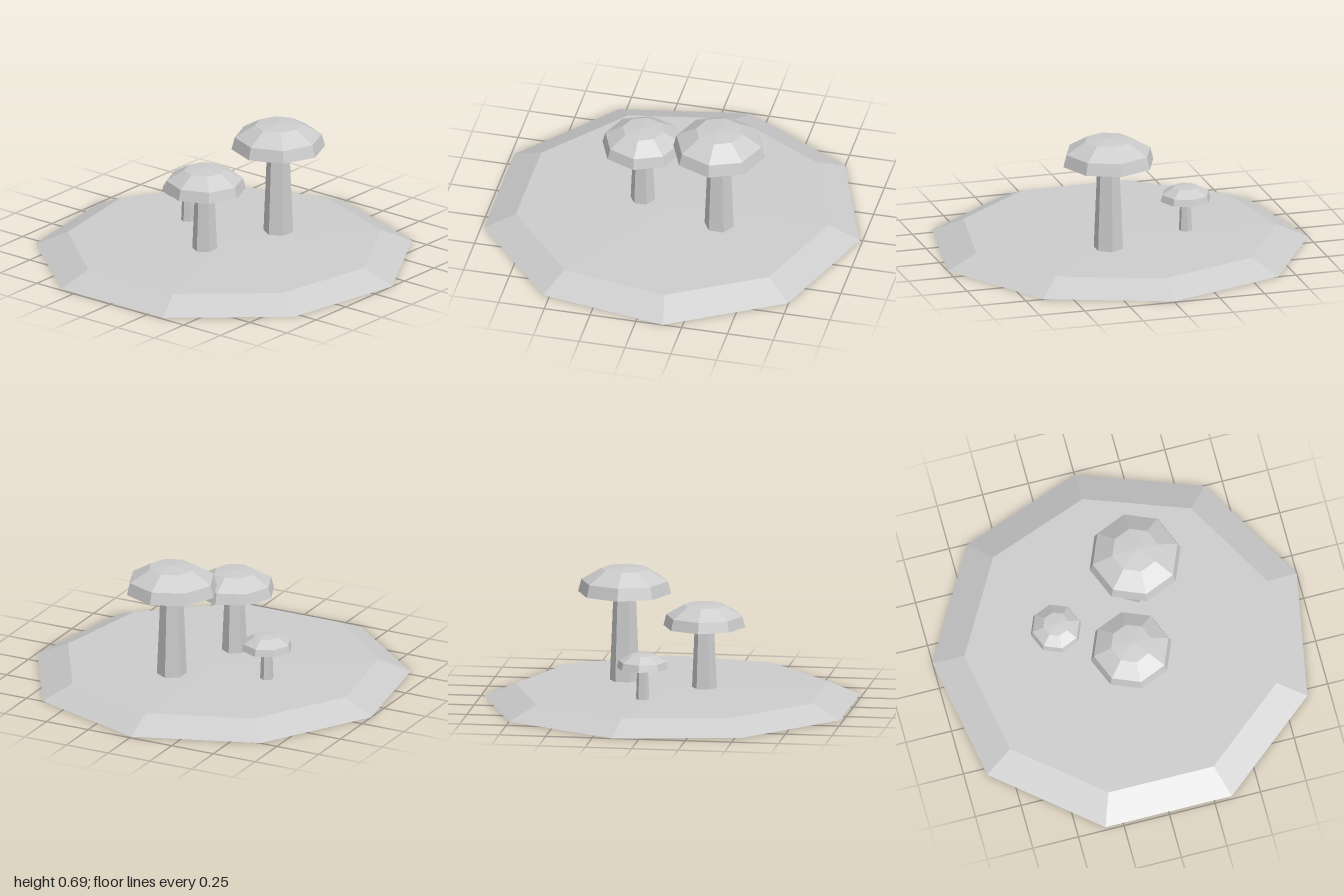
import * as THREE from 'three';

export function createModel() {
  const model = new THREE.Group();
  const grey = new THREE.MeshStandardMaterial({ color: 0xcccccc, flatShading: true });
  grey.name = 'light grey';

  // Faceted solid of revolution from [radius, height] pairs, one corner on +x
  function faceted(name, profile, sides) {
    const points = profile.map(([r, y]) => new THREE.Vector2(r, y));
    const mesh = new THREE.Mesh(new THREE.LatheGeometry(points, sides, Math.PI / 2), grey);
    mesh.name = name;
    return mesh;
  }

  // Low nine-sided mound with a bevelled rim and a barely raised middle
  const ground = faceted('ground', [[0, 0], [1.015, 0], [0.845, 0.075], [0, 0.085]], 9);
  ground.position.x = -0.03;
  model.add(ground);

  // Mushroom: tapered six-sided stem under an eight-sided domed cap
  function addMushroom(name, x, z, capRadius, rimY, stemBottom, stemTop) {
    const mushroom = new THREE.Group();
    mushroom.name = name;
    const s = capRadius;
    const stem = faceted('stem', [[0, 0.07], [stemBottom, 0.07], [stemTop, rimY], [0, rimY]], 6);
    const cap = faceted('cap', [
      [0, -0.08 * s], [s, 0], [0.93 * s, 0.265 * s], [0.5 * s, 0.52 * s], [0, 0.56 * s],
    ], 8);
    cap.position.y = rimY;
    mushroom.add(stem, cap);
    mushroom.position.set(x, 0, z);
    model.add(mushroom);
  }

  addMushroom('tallMushroom', 0.25, 0.14, 0.25, 0.555, 0.08, 0.06);
  addMushroom('mediumMushroom', -0.2, 0, 0.22, 0.415, 0.067, 0.052);
  addMushroom('smallMushroom', 0.08, -0.34, 0.138, 0.25, 0.036, 0.029);

  return model;
}
